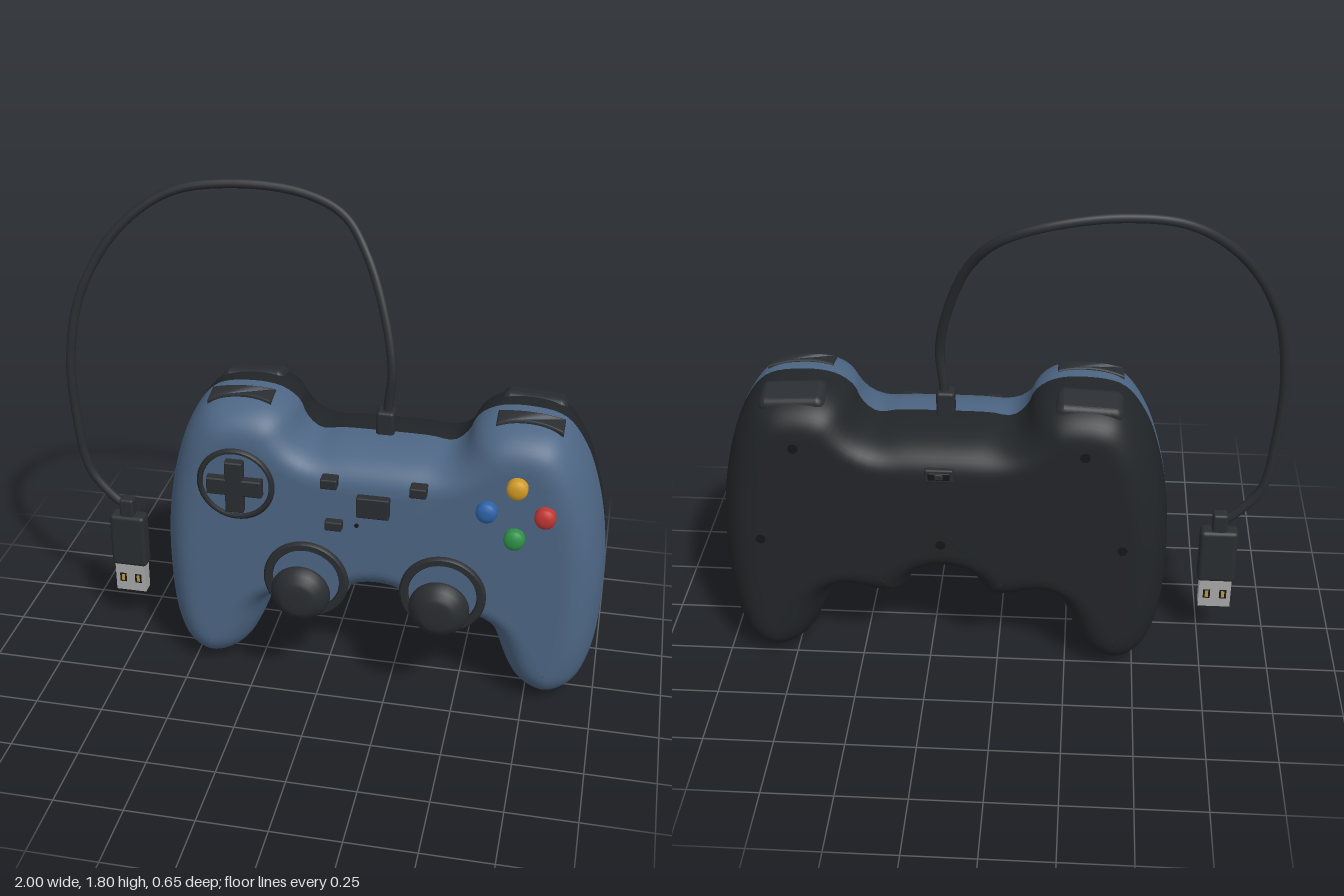
import * as THREE from 'three';
import { RoundedBoxGeometry } from 'three/addons/geometries/RoundedBoxGeometry.js';

const CX = 0.195;    // middle of the gamepad body
const SEAM = -0.07;  // z of the joint between the two shells
const FACE = 0.165;  // z of the front face
const mat = (color) => new THREE.MeshStandardMaterial({ color });
const BLUE = mat(0x4d6684), BLACK = mat(0x222528), DARK = mat(0x2a2d31);
const PIT = mat(0x141618), METAL = mat(0xa8a8a8), GOLD = mat(0xc09a3a);

export function createModel() {
  const root = new THREE.Group();
  root.name = 'gamepad';

  function add(name, geometry, material, x = 0, y = 0, z = 0, parent = root) {
    const mesh = new THREE.Mesh(geometry, material);
    mesh.name = name;
    mesh.position.set(x, y, z);
    parent.add(mesh);
    return mesh;
  }
  const rbox = (w, h, d, r) => new RoundedBoxGeometry(w, h, d, 3, r);
  // Lathe turned so that its axis points along +z
  const latheZ = (pts, seg = 40) => new THREE.LatheGeometry(
    pts.map(([r, h]) => new THREE.Vector2(r, h)), seg).rotateX(Math.PI / 2);
  const cylZ = (r0, r1, d, seg = 40) =>
    new THREE.CylinderGeometry(r1, r0, d, seg).rotateX(Math.PI / 2);
  const ringZ = (ro, ri, d) => latheZ(
    [[ri, 0], [ro, 0], [ro, 0], [ro, d * 0.7], [ro - d * 0.3, d], [ro - d * 0.3, d],
      [ri + 0.004, d], [ri + 0.004, d], [ri, d * 0.7], [ri, 0]], 48);

  // Half outline of the body: distance from the middle, height
  const half = [
    [0.16, 0.963], [0.24, 0.955], [0.292, 1.0], [0.32, 1.06], [0.385, 1.105], [0.505, 1.117],
    [0.625, 1.09], [0.705, 0.99], [0.765, 0.82], [0.8, 0.606], [0.805, 0.39], [0.785, 0.18],
    [0.735, 0.06], [0.63, 0.004], [0.515, 0.055], [0.455, 0.16], [0.42, 0.26], [0.375, 0.32],
    [0.32, 0.297], [0.23, 0.277], [0.135, 0.29], [0.105, 0.36], [0.07, 0.395]];
  const right = half.map(([x, y]) => new THREE.Vector3(x, y, 0));
  const left = half.map(([x, y]) => new THREE.Vector3(-x, y, 0)).reverse();
  const N = 220, RINGS = 14, INSET = 0.14;
  const outline = new THREE.CatmullRomCurve3(
    [new THREE.Vector3(0, 0.965, 0), ...right, new THREE.Vector3(0, 0.396, 0), ...left], true)
    .getSpacedPoints(N).slice(0, N).map((p) => new THREE.Vector2(p.x, p.y)).reverse();

  // Shrink a ring along its normals, then relax it so that tight corners stay round
  function shrink(ring, step) {
    const at = (r, i) => r[(i + N) % N];
    let out = ring.map((p, i) => {
      const t = at(ring, i + 1).clone().sub(at(ring, i - 1)).normalize();
      return new THREE.Vector2(p.x - t.y * step, p.y + t.x * step);
    });
    const w = Math.min(0.5, step / 0.04);
    for (let pass = 0; pass < 2; pass++) {
      out = out.map((p, i) => at(out, i - 1).clone().add(at(out, i + 1))
        .multiplyScalar(0.5).lerp(p, 1 - w));
    }
    return out;
  }

  // One shell: rings rounded over from the seam to a flat face
  function shell(depth) {
    const pos = [], index = [];
    let ring = outline, last = 0;
    const tri = (a, b, c) => (depth > 0 ? index.push(a, b, c) : index.push(a, c, b));
    for (let k = 0; k <= RINGS; k++) {
      const a = (k / RINGS) * Math.PI / 2;
      const inset = INSET * (1 - Math.pow(Math.max(0, Math.cos(a)), 0.85));
      if (k) ring = shrink(ring, inset - last);
      last = inset;
      const z = SEAM + depth * Math.pow(Math.sin(a), 0.85);
      ring.forEach((p) => pos.push(p.x, p.y, z));
      for (let i = 0; k && i < N; i++) {
        const j = (i + 1) % N, lo = (k - 1) * N, hi = k * N;
        tri(lo + i, lo + j, hi + j);
        tri(lo + i, hi + j, hi + i);
      }
    }
    const base = RINGS * N;
    THREE.ShapeUtils.triangulateShape(ring, [])
      .forEach(([a, b, c]) => tri(base + a, base + b, base + c));
    const g = new THREE.BufferGeometry();
    g.setAttribute('position', new THREE.Float32BufferAttribute(pos, 3));
    g.setIndex(index);
    g.computeVertexNormals();
    return g;
  }
  add('frontShell', shell(FACE - SEAM), BLUE, CX);
  add('backShell', shell(-0.25), BLACK, CX);

  // Shoulder buttons, bent to follow the top of the body
  const bow = new THREE.Shape();
  bow.moveTo(-0.11, -0.034);
  bow.quadraticCurveTo(0, -0.006, 0.11, -0.034);
  bow.lineTo(0.11, 0.034);
  bow.quadraticCurveTo(0, 0.022, -0.11, 0.034);
  bow.closePath();
  function bend(g) {
    const p = g.attributes.position;
    for (let i = 0; i < p.count; i++) p.setY(i, p.getY(i) - 1.3 * p.getX(i) ** 2);
    g.computeVertexNormals();
    return g;
  }
  for (const s of [-1, 1]) {
    const x = CX + s * 0.51;
    const bumper = add('shoulderButton', bend(new THREE.ExtrudeGeometry(bow, {
      depth: 0.04, bevelThickness: 0.007, bevelSize: 0.007, bevelSegments: 2, curveSegments: 16,
    }).rotateX(-Math.PI / 2)), DARK, x, 1.073, 0.012);
    bumper.rotation.set(0.15, 0, -s * 0.06);
    const trigger = add('trigger', bend(new RoundedBoxGeometry(0.235, 0.07, 0.125, 5, 0.028)),
      DARK, x, 1.083, -0.197);
    trigger.rotation.set(-0.25, 0, -s * 0.06);

    // Thumb stick on a round boss
    const sx = CX + s * 0.249, sy = 0.455;
    add('stickBoss', cylZ(0.165, 0.15, 0.2), BLUE, sx, sy, FACE - 0.098);
    add('stickRing', ringZ(0.156, 0.123, 0.025), DARK, sx, sy, FACE - 0.008);
    add('stickStem', cylZ(0.034, 0.032, 0.12, 24), DARK, sx, sy, 0.21);
    add('stickCap', latheZ([[0, 0.255], [0.07, 0.25], [0.1, 0.25], [0.108, 0.257], [0.106, 0.268],
      [0.092, 0.292], [0.07, 0.31], [0.055, 0.316], [0.03, 0.318], [0, 0.318]].reverse()
      .reverse()), DARK, sx, sy, 0);

    // Screws in the back
    for (const [dx, y, z] of [[0.5, 0.94, -0.316], [0.64, 0.56, -0.316], [0.63, 0.2, -0.312]])
      add('screw', cylZ(0.018, 0.018, 0.012, 16), PIT, CX + s * dx, y, z);
  }
  add('screw', cylZ(0.018, 0.018, 0.012, 16), PIT, CX, 0.56, -0.316);

  // Directional pad
  const cross = new THREE.Shape();
  const a = 0.096, b = 0.028;
  [[b, a], [-b, a], [-b, b], [-a, b], [-a, -b], [-b, -b], [-b, -a], [b, -a], [b, -b], [a, -b],
    [a, b], [b, b]].forEach(([x, y], i) => (i ? cross.lineTo(x, y) : cross.moveTo(x, y)));
  add('directionPadRing', ringZ(0.142, 0.121, 0.03), DARK, -0.307, 0.82, FACE - 0.018);
  add('directionPad', new THREE.ExtrudeGeometry(cross, {
    depth: 0.04, bevelThickness: 0.004, bevelSize: 0.004, bevelSegments: 1,
  }), DARK, -0.307, 0.82, FACE - 0.01);

  // Four coloured action buttons
  const button = latheZ([[0.037, -0.02], [0.037, 0.022], [0.034, 0.032], [0.024, 0.039],
    [0.012, 0.042], [0, 0.042]], 28);
  for (const [name, x, y, color] of [
    ['yellowButton', 0.686, 0.922, 0xd09a26], ['blueButton', 0.586, 0.82, 0x2c62a8],
    ['redButton', 0.787, 0.82, 0xc03632], ['greenButton', 0.686, 0.722, 0x2f9048]])
    add(name, button, mat(color), x, y, FACE);

  // Small middle buttons and lamp
  for (const [name, x, y, w, h] of [
    ['homeButton', 0.19, 0.79, 0.117, 0.08], ['selectButton', 0.033, 0.87, 0.06, 0.038],
    ['startButton', 0.348, 0.87, 0.06, 0.038], ['modeButton', 0.05, 0.702, 0.062, 0.036]])
    add(name, rbox(w, h, 0.06, 0.006), DARK, x, y, FACE);
  add('lamp', cylZ(0.008, 0.008, 0.01, 12), PIT, 0.13, 0.702, FACE);

  // Switch at the back
  add('backSwitchFrame', rbox(0.1, 0.052, 0.03, 0.008), DARK, CX, 0.85, -0.313);
  add('backSwitchSlot', rbox(0.076, 0.03, 0.03, 0.005), PIT, CX, 0.85, -0.316);
  add('backSwitchKnob', rbox(0.03, 0.022, 0.03, 0.004), DARK, CX, 0.85, -0.32);

  // Cable from the top of the body to the plug
  const path = [[0.195, 1.0, -0.07], [0.197, 1.07, -0.07], [0.208, 1.2, -0.068], [0.18, 1.36, -0.105],
    [0.1, 1.57, -0.18], [0, 1.695, -0.25], [-0.15, 1.76, -0.268], [-0.4, 1.787, -0.24],
    [-0.62, 1.752, -0.205], [-0.8, 1.62, -0.155], [-0.93, 1.4, -0.1], [-0.98, 1.15, -0.07],
    [-0.975, 0.9, -0.065], [-0.94, 0.68, -0.07], [-0.87, 0.585, -0.07], [-0.806, 0.53, -0.07]];
  add('cable', new THREE.TubeGeometry(new THREE.CatmullRomCurve3(
    path.map((p) => new THREE.Vector3(...p))), 160, 0.017, 12), DARK);
  add('cableRelief', rbox(0.065, 0.1, 0.065, 0.012), DARK, 0.19, 1.0, SEAM);

  // Plug
  const plug = new THREE.Group();
  plug.name = 'plug';
  plug.position.set(-0.802, 0, SEAM);
  root.add(plug);
  add('plugNeck', rbox(0.055, 0.09, 0.05, 0.01), DARK, 0, 0.525, 0, plug);
  add('plugGrip', rbox(0.138, 0.22, 0.068, 0.016), DARK, 0, 0.39, 0, plug);
  add('plugMetal', new THREE.BoxGeometry(0.118, 0.12, 0.05), METAL, 0, 0.225, 0, plug);
  add('plugOpening', new THREE.BoxGeometry(0.1, 0.004, 0.034), PIT, 0, 0.165, 0, plug);
  for (const s of [-1, 1]) {
    add('plugHole', new THREE.BoxGeometry(0.026, 0.038, 0.052), PIT, s * 0.03, 0.222, 0, plug);
    add('plugContact', new THREE.BoxGeometry(0.012, 0.028, 0.053), GOLD, s * 0.03, 0.222, 0, plug);
  }
  return root;
}
